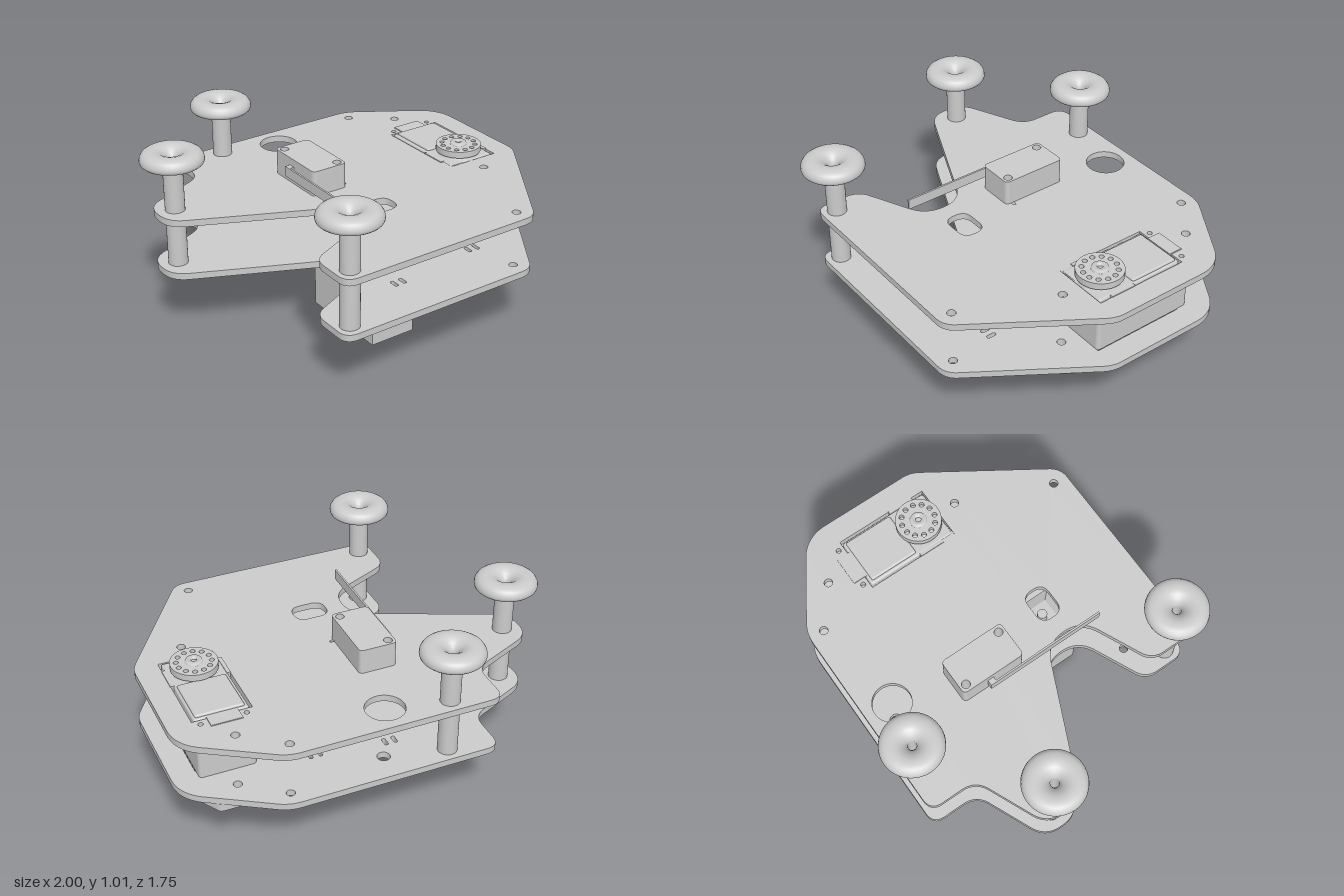
import * as THREE from 'three';
import { RoundedBoxGeometry } from 'three/addons/geometries/RoundedBoxGeometry.js';

const grey = new THREE.MeshStandardMaterial({ color: 0xcccccc, side: THREE.DoubleSide });

export function createModel() {
  const root = new THREE.Group();
  const add = (name, geo, x = 0, y = 0, z = 0) => {
    const m = new THREE.Mesh(geo, grey);
    m.name = name;
    m.position.set(x, y, z);
    root.add(m);
    return m;
  };
  // Box given by its low and high corners, optionally rounded
  const box = (name, a, b, r = 0) => {
    const s = b.map((v, i) => v - a[i]);
    const c = b.map((v, i) => (v + a[i]) / 2);
    return add(name, r ? new RoundedBoxGeometry(...s, 3, r) : new THREE.BoxGeometry(...s), ...c);
  };
  // Closed outline from [x, z, corner] points; corner is the distance cut and rounded
  const outline = (pts, T = THREE.Shape) => {
    const s = new T();
    const n = pts.length;
    const toward = (p, q) => {
      const l = Math.hypot(q[0] - p[0], q[1] - p[1]);
      const d = p[2] || 0;
      return [p[0] + (q[0] - p[0]) * d / l, -(p[1] + (q[1] - p[1]) * d / l)];
    };
    pts.forEach((p, i) => {
      const a = toward(p, pts[(i + n - 1) % n]);
      const b = toward(p, pts[(i + 1) % n]);
      if (i) s.lineTo(...a); else s.moveTo(...a);
      if (p[2]) s.quadraticCurveTo(p[0], -p[1], ...b);
    });
    s.closePath();
    return s;
  };
  const rect = (x0, z0, x1, z1, r, T) =>
    outline([[x0, z0, r], [x1, z0, r], [x1, z1, r], [x0, z1, r]], T);
  const disc = (x, z, r, T = THREE.Path) => {
    const p = new T();
    p.absarc(x, -z, r, 0, Math.PI * 2);
    return p;
  };
  // Flat plate lying in xz, from y0 up to y1
  const slab = (name, shape, holes, y0, y1) => {
    shape.holes = holes;
    const g = new THREE.ExtrudeGeometry(shape, { depth: y1 - y0, bevelEnabled: false, curveSegments: 20 });
    g.rotateX(-Math.PI / 2);
    return add(name, g, 0, y0, 0);
  };
  const lathe = (name, pts, x, z, seg = 40) =>
    add(name, new THREE.LatheGeometry(pts.map(p => new THREE.Vector2(...p)), seg), x, 0, z);

  // Deck plates
  const posts = [[-0.84, -0.28], [-0.31, -0.72], [-0.485, 0.71]];
  const deck = [
    [-0.56, -0.8, 0.07], [0.55, -0.8, 0.06], [1, -0.52, 0.12], [1, 0.13, 0.05],
    [0.565, 0.79, 0.06], [-0.56, 0.79, 0.07], [-0.56, 0.54, 0.07],
    [-0.185, 0.37, 0.104], [-0.185, 0.16, 0.104],
    [-0.935, -0.18, 0.09], [-0.935, -0.376, 0.09], [-0.56, -0.54, 0.08],
  ];
  const boltHoles = () => [[0.515, -0.72], [0.72, -0.56], [0.72, 0.22], [0.515, 0.71], ...posts]
    .map(([x, z]) => disc(x, z, 0.022));
  const servoScrews = () => [0.61, 0.84].flatMap(x => [-0.42, 0.085].map(z => disc(x, z, 0.013)));
  const slots = [[0.455, 0.46], [-0.06, 0.52], [-0.08, -0.55], [0.3, -0.5]].flatMap(([x, z]) =>
    [-0.025, 0.025].map(d => rect(x + d - 0.01, z - 0.025, x + d + 0.01, z + 0.025, 0.009, THREE.Path)));
  slab('lowerDeck', outline(deck), [
    ...boltHoles(), ...slots, disc(0, -0.65, 0.033), disc(-0.36, 0.54, 0.022),
    rect(-0.13, 0.11, 0.125, 0.405, 0, THREE.Path),
    rect(0.57, -0.39, 0.875, 0.12, 0, THREE.Path), ...servoScrews(),
  ], 0.365, 0.4);
  slab('upperDeck', outline(deck), [
    ...boltHoles(), disc(0, -0.65, 0.1), disc(0, -0.05, 0.022),
    rect(-0.09, 0.2, 0.09, 0.33, 0.06, THREE.Path),
    rect(0.57, -0.39, 0.875, 0.12, 0, THREE.Path), ...servoScrews(),
  ], 0.66, 0.695);

  // Hollow posts carrying rounded rollers
  for (const [x, z] of posts) {
    for (const [y0, y1] of [[0.4, 0.66], [0.695, 0.955]])
      slab('post', disc(x, z, 0.05, THREE.Shape), [disc(x, z, 0.022)], y0, y1);
    lathe('roller', [
      [0.022, 0.95], [0.15, 0.95], [0.15, 0.95], [0.157, 0.957], [0.16, 0.968], [0.157, 0.985],
      [0.147, 1], [0.132, 1.01], [0.11, 1.015], [0.085, 1.015], [0.063, 1.008],
      [0.045, 0.995], [0.03, 0.98], [0.022, 0.96], [0.022, 0.95],
    ], x, z);
  }

  // Drive motor hanging through the lower deck
  box('motorBody', [-0.13, 0, -0.11], [0.125, 0.34, 0.405]);
  slab('motorFlange', rect(-0.13, -0.2, 0.125, 0.49, 0.015),
    [-0.065, 0.065].flatMap(x => [-0.155, 0.45].map(z => disc(x, z, 0.022))), 0.34, 0.365);
  box('motorNeck', [-0.13, 0.34, 0.12], [0.125, 0.465, 0.405]);
  const cap = new THREE.CylinderGeometry(0.07 * Math.SQRT2, 0.125 * Math.SQRT2, 0.028, 4).toNonIndexed();
  cap.rotateY(Math.PI / 4);
  cap.computeVertexNormals();
  add('motorCap', cap, 0, 0.479, 0.27);
  add('motorShaft', new THREE.CylinderGeometry(0.026, 0.026, 0.06, 24), 0, 0.515, 0.27);

  // Lever switch on the upper deck
  slab('switchBody', rect(-0.205, -0.355, -0.005, 0, 0.025),
    [disc(-0.17, -0.32, 0.022), disc(-0.04, -0.035, 0.022)], 0.695, 0.83);
  box('switchLever', [-0.235, 0.735, -0.2], [-0.225, 0.79, 0.445]);
  box('leverHinge', [-0.235, 0.735, -0.215], [-0.2, 0.79, -0.18]);

  // Servo between the decks
  box('servoBody', [0.577, 0.385, -0.45], [0.872, 0.66, 0.122], 0.02);
  box('servoBase', [0.59, 0.35, -0.385], [0.86, 0.4, 0.115], 0.01);
  box('servoTop', [0.582, 0.64, -0.385], [0.862, 0.698, 0.115], 0.012);
  box('servoCover', [0.6, 0.68, -0.37], [0.85, 0.71, -0.1], 0.01);
  box('servoConnector', [0.64, 0.64, -0.455], [0.8, 0.7, -0.38]);
  for (const x of [0.578, 0.868])
    box('servoBracket', [x - 0.01, 0.64, -0.09], [x + 0.01, 0.7, 0.05]);
  for (const z of [-0.3, -0.02])
    box('servoBaseRib', [0.62, 0.335, z - 0.02], [0.83, 0.36, z + 0.02]);
  lathe('idlerHub', [[0.025, 0.35], [0.025, 0.33], [0.07, 0.33], [0.07, 0.36]], 0.725, 0);

  // Output horn with a ring of holes
  lathe('hornCollar', [[0, 0.725], [0.1, 0.725], [0.115, 0.69]], 0.725, 0);
  const ring = Array.from({ length: 12 }, (_, i) => {
    const a = (i + 0.5) * Math.PI / 6;
    return disc(0.725 + 0.088 * Math.cos(a), 0.088 * Math.sin(a), 0.013);
  });
  slab('horn', disc(0.725, 0, 0.12, THREE.Shape), ring, 0.715, 0.75);
  lathe('hornBoss', [[0.015, 0.745], [0.015, 0.762], [0.04, 0.762], [0.045, 0.75]], 0.725, 0);

  // Eight-sided frame below the servo
  slab('servoFrame', outline([
    [0.61, -0.63, 0.02], [0.835, -0.63, 0.02], [0.94, -0.45, 0.02], [0.94, 0.125, 0.02],
    [0.835, 0.305, 0.02], [0.61, 0.305, 0.02], [0.505, 0.125, 0.02], [0.505, -0.45, 0.02],
  ]), [
    rect(0.575, -0.39, 0.87, 0.12, 0.01, THREE.Path),
    disc(0.72, -0.56, 0.022), disc(0.72, 0.22, 0.022), ...servoScrews(),
  ], 0.322, 0.365);

  return root;
}
